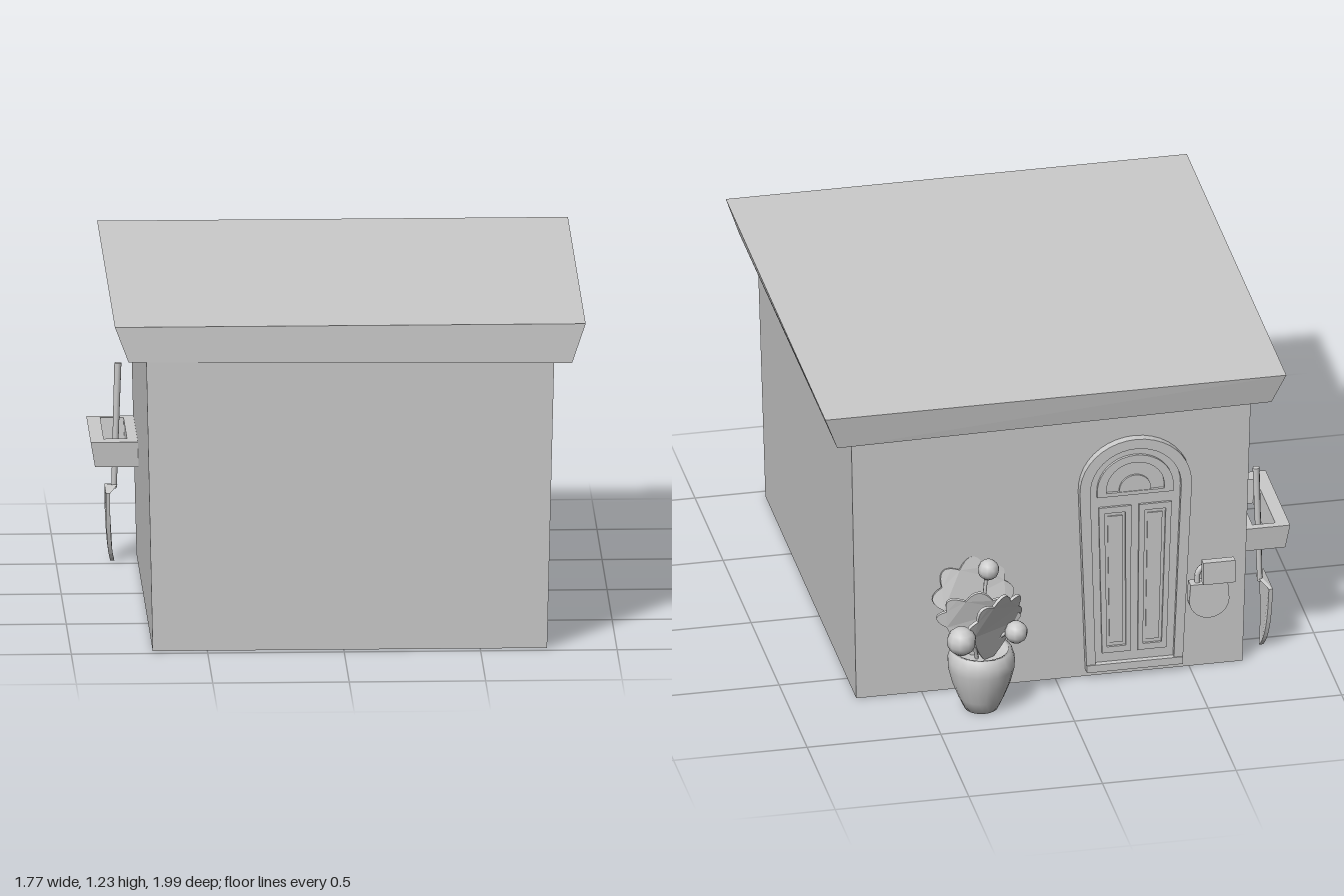
import * as THREE from 'three';

const mat = new THREE.MeshStandardMaterial({ color: 0xcccccc, side: THREE.DoubleSide });
const flat = new THREE.MeshStandardMaterial({ color: 0xcccccc, side: THREE.DoubleSide, flatShading: true });

function add(parent, name, geo, material = flat) {
  const m = new THREE.Mesh(geo, material);
  m.name = name;
  parent.add(m);
  return m;
}

// Move every vertex of a geometry by a rule
function warp(geo, rule) {
  const p = geo.attributes.position, v = new THREE.Vector3();
  for (let i = 0; i < p.count; i++) {
    rule(v.fromBufferAttribute(p, i));
    p.setXYZ(i, v.x, v.y, v.z);
  }
  geo.computeVertexNormals();
  return geo;
}

// Box with different bottom and top rectangles [x0, x1, z0, z1]
function taperedBox(bottom, top, y0, y1) {
  return warp(new THREE.BoxGeometry(1, 1, 1), v => {
    const r = v.y > 0 ? top : bottom;
    v.set(v.x < 0 ? r[0] : r[1], v.y > 0 ? y1 : y0, v.z < 0 ? r[2] : r[3]);
  });
}

const extrude = (shape, depth) =>
  new THREE.ExtrudeGeometry(shape, { depth, bevelEnabled: false, curveSegments: 10 });

// Outline with straight sides and a half-round top
function archPath(Type, w, y0, spring) {
  const s = new Type();
  s.moveTo(-w, y0);
  s.lineTo(w, y0);
  s.lineTo(w, spring);
  s.absarc(0, spring, w, 0, Math.PI, false);
  s.lineTo(-w, y0);
  return s;
}

function rectPath(Type, x0, x1, y0, y1) {
  const s = new Type();
  s.moveTo(x0, y0);
  s.lineTo(x1, y0);
  s.lineTo(x1, y1);
  s.lineTo(x0, y1);
  s.closePath();
  return s;
}

function makeDoor() {
  const door = new THREE.Group();
  door.name = 'door';
  // Widen towards the top and lean with the rear wall
  const place = geo => warp(geo, v => {
    const k = 0.84 + 0.19 * v.y;
    v.set(-0.29 - v.x * k, v.y, -(0.66 + 0.028 * v.y + v.z));
  });
  const part = (name, shape, depth) => add(door, name, place(extrude(shape, depth)));

  part('doorSlab', archPath(THREE.Shape, 0.19, 0.03, 0.78), 0.014);
  const frame = archPath(THREE.Shape, 0.212, 0.03, 0.778);
  frame.holes.push(archPath(THREE.Path, 0.172, 0.06, 0.778));
  part('doorFrame', frame, 0.032);
  for (const s of [-1, 1]) {
    const x0 = s < 0 ? -0.14 : 0.015, x1 = x0 + 0.125;
    const rim = rectPath(THREE.Shape, x0, x1, 0.1, 0.71);
    rim.holes.push(rectPath(THREE.Path, x0 + 0.022, x1 - 0.022, 0.125, 0.685));
    part('doorPanelRim', rim, 0.023);
    part('doorPanel', rectPath(THREE.Shape, x0 + 0.034, x1 - 0.034, 0.14, 0.67), 0.019);
  }
  // Half-round window over the panels
  const fan = archPath(THREE.Shape, 0.145, 0.755, 0.775);
  fan.holes.push(archPath(THREE.Path, 0.11, 0.77, 0.78));
  part('fanWindowRim', fan, 0.025);
  part('fanWindowHub', archPath(THREE.Shape, 0.06, 0.765, 0.775), 0.022);
  part('threshold', rectPath(THREE.Shape, -0.212, 0.212, 0.03, 0.06), 0.036);
  return door;
}

function makePadlock() {
  const lock = new THREE.Group();
  lock.name = 'padlock';
  add(lock, 'haspPlate', new THREE.BoxGeometry(0.12, 0.09, 0.03)).position.set(0.03, 0.12, 0.045);
  const body = new THREE.Shape();
  body.moveTo(-0.07, 0.06);
  body.lineTo(-0.075, -0.01);
  body.absarc(0, -0.005, 0.075, Math.PI, Math.PI * 2, false);
  body.lineTo(0.07, 0.06);
  body.closePath();
  add(lock, 'lockBody', extrude(body, 0.045)).position.z = -0.02;
  const arc = new THREE.TorusGeometry(0.04, 0.011, 8, 14, Math.PI);
  const shackle = add(lock, 'shackle', arc, mat);
  shackle.position.y = 0.085;
  for (const s of [-1, 1]) {
    add(lock, 'shackleLeg', new THREE.CylinderGeometry(0.011, 0.011, 0.04, 8), mat)
      .position.set(s * 0.04, 0.07, 0);
  }
  lock.position.set(-0.555, 0.325, -0.735);
  lock.rotation.y = Math.PI;
  return lock;
}

function makePlant() {
  const plant = new THREE.Group();
  plant.name = 'pottedPlant';
  plant.position.set(0.31, 0, -0.815);
  const profile = [[0, 0], [0.062, 0], [0.085, 0.05], [0.108, 0.11], [0.123, 0.17], [0.124, 0.205],
    [0.113, 0.24], [0.1, 0.24], [0.1, 0.215], [0, 0.215]];
  add(plant, 'pot', new THREE.LatheGeometry(profile.map(p => new THREE.Vector2(...p)), 20), mat);

  // Scalloped fan leaves, cupped a little: [x, z, lean, yaw, width, height]
  const leaves = [[0, 0.05, 0.25, 0.05, 0.29, 0.35], [0.01, 0, -0.12, -0.12, 0.29, 0.28],
    [-0.02, -0.03, -0.3, 0.5, 0.24, 0.31]];
  for (const [x, z, lean, yaw, w, h] of leaves) {
    const s = new THREE.Shape();
    s.moveTo(-0.03, 0);
    s.lineTo(0.03, 0);
    const rim = a => [Math.cos(a) * 0.44, 0.6 + Math.sin(a) * 0.32];
    const lobes = 5, start = -0.4, step = (Math.PI + 0.8) / lobes;
    s.quadraticCurveTo(0.28, 0.18, ...rim(start));
    for (let i = 0; i < lobes; i++) {
      const a = start + i * step, mid = a + step / 2;
      s.quadraticCurveTo(Math.cos(mid) * 0.66, 0.6 + Math.sin(mid) * 0.56, ...rim(a + step));
    }
    s.quadraticCurveTo(-0.28, 0.18, -0.03, 0);
    const geo = warp(extrude(s, 0.012), v => {
      v.set(v.x * w, v.y * h, v.z + 0.9 * (v.x * w) ** 2);
    });
    const leaf = add(plant, 'leaf', geo);
    leaf.position.set(x, 0.2, z);
    leaf.rotation.set(lean, yaw, 0, 'YXZ');
  }

  // Round buds on thin stems: [x, y, z, radius]
  const buds = [[0.1, 0.345, -0.125, 0.055], [-0.03, 0.555, 0.015, 0.04], [-0.12, 0.32, -0.05, 0.043],
    [-0.03, 0.3, 0.085, 0.035]];
  for (const [x, y, z, r] of buds) {
    const bud = add(plant, 'bud', new THREE.SphereGeometry(r, 10, 7), mat);
    bud.position.set(x, y, z);
    const stem = new THREE.QuadraticBezierCurve3(new THREE.Vector3(x * 0.2, 0.2, z * 0.2),
      new THREE.Vector3(x * 0.4, y, z * 0.4), new THREE.Vector3(x, y, z));
    add(plant, 'stem', new THREE.TubeGeometry(stem, 8, 0.007, 6), mat);
  }
  return plant;
}

function makeToolRack() {
  const rack = new THREE.Group();
  rack.name = 'toolRack';
  // Slotted shelf, narrower underneath
  const shelf = rectPath(THREE.Shape, -0.885, -0.705, -0.63, -0.19);
  shelf.holes.push(rectPath(THREE.Path, -0.835, -0.75, -0.6, -0.25));
  const geo = warp(extrude(shelf, 0.095), v => {
    const k = v.z < 0.05 ? 0.91 : 1;
    v.set(-0.705 + (v.x + 0.705) * k, 0.43 + v.z, -0.41 + (v.y + 0.41) * (k + 1) / 2);
  });
  geo.index || geo.scale(1, 1, 1);
  add(rack, 'shelf', geo);

  // Trowel hanging through the slot
  const handle = add(rack, 'trowelHandle', new THREE.CylinderGeometry(0.013, 0.01, 0.47, 8), mat);
  handle.position.set(-0.779, 0.505, -0.56);
  handle.rotation.z = -0.03;
  const blade = new THREE.Shape();
  blade.moveTo(0, 0);
  blade.quadraticCurveTo(0.06, 0.06, 0.085, 0.27);
  blade.lineTo(0, 0.285);
  blade.lineTo(-0.085, 0.27);
  blade.quadraticCurveTo(-0.06, 0.06, 0, 0);
  const bladeGeo = warp(extrude(blade, 0.015), v => {
    v.set(-0.8 + v.z + 0.04 * v.y - 0.35 * Math.abs(v.x), v.y, -0.55 - v.x);
  });
  add(rack, 'trowelBlade', bladeGeo);
  return rack;
}

export function createModel() {
  const model = new THREE.Group();
  model.name = 'shed';

  // Walls flare upwards and are open underneath
  const walls = taperedBox([-0.7, 0.745, -0.66, 0.96], [-0.725, 0.77, -0.69, 0.995], 0, 1.1);
  const idx = Array.from(walls.index.array);
  walls.setIndex([...idx.slice(0, 12), ...idx.slice(24)]);
  add(model, 'walls', walls);

  // Roof slab overhangs on three sides, its underside slightly skewed
  const roof = taperedBox([-0.79, 0.835, -0.75, 1], [-0.84, 0.885, -0.775, 1], 1.09, 1.225);
  warp(roof, v => {
    if (v.y < 1.15) v.y += (v.x < 0 ? 0.01 : -0.006) - 0.007 * Math.sign(v.z);
  });
  add(model, 'roof', roof);

  model.add(makeDoor(), makePadlock(), makePlant(), makeToolRack());
  return model;
}
